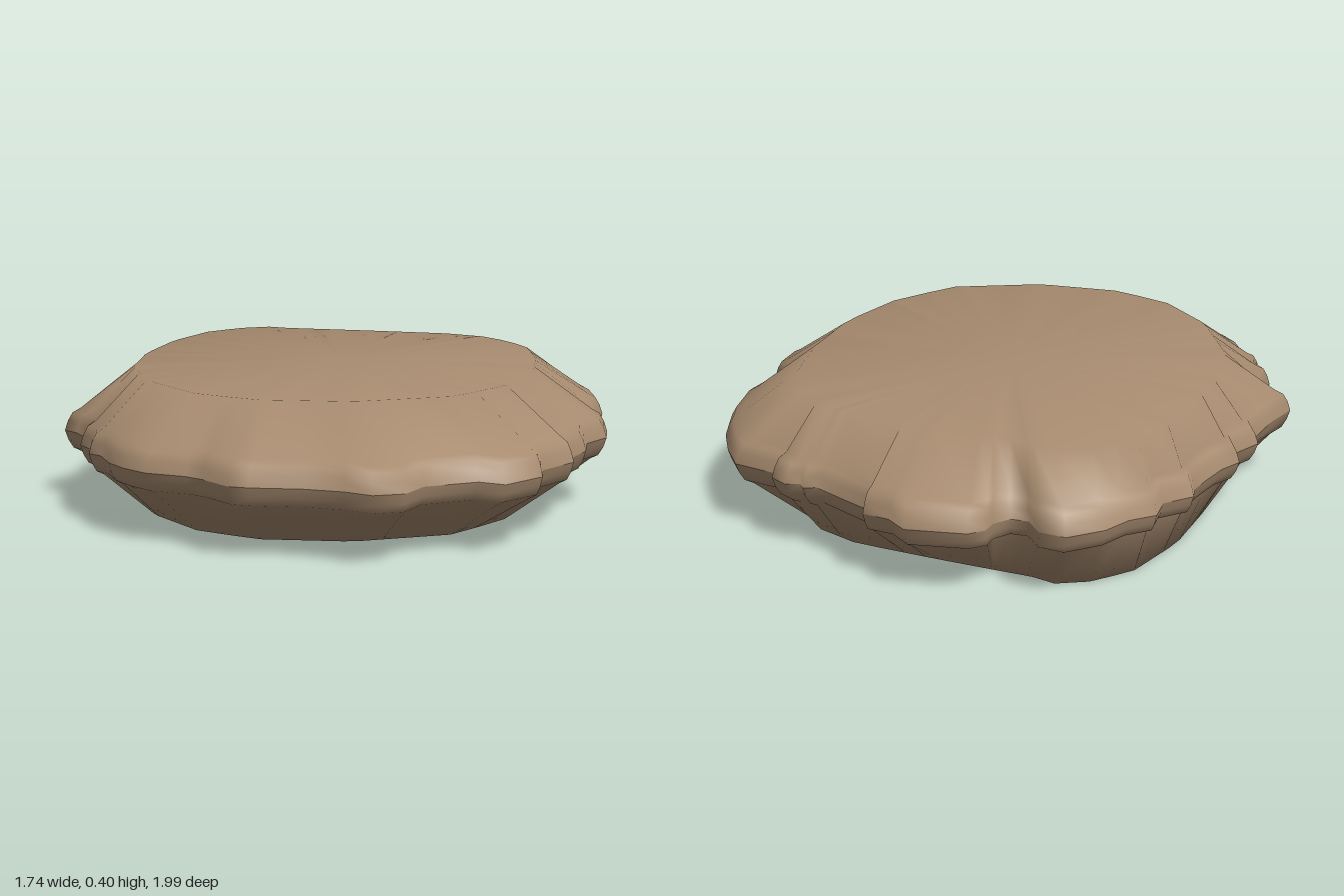
import * as THREE from 'three';

// Craggy outline at the waist of the slab, as x, z pairs from the back tip round to the right
const OUTLINE = [
  -.09, -1, -.02, -.96, 0, -.89, .05, -.87, .10, -.90, .12, -.94, .17, -.96, .34, -.92,
  .38, -.85, .45, -.81, .44, -.78, .52, -.69, .58, -.62, .62, -.62, .63, -.59, .67, -.59,
  .71, -.54, .70, -.51, .82, -.43, .85, -.32, .865, -.2, .86, -.1, .83, .04, .77, .15,
  .72, .20, .74, .31, .70, .41, .61, .48, .57, .58, .48, .68, .48, .72, .36, .80,
  .33, .88, .20, .95, .14, .90, -.02, .92, -.09, .99, -.18, .99, -.24, .93, -.34, .87,
  -.48, .82, -.53, .79, -.58, .69, -.62, .64, -.72, .57, -.77, .49, -.80, .41, -.81, .31,
  -.84, .27, -.83, .2, -.85, .14, -.82, .05, -.84, -.05, -.87, -.10, -.79, -.20, -.72, -.32,
  -.72, -.37, -.64, -.44, -.64, -.51, -.58, -.56, -.52, -.64, -.48, -.70, -.47, -.75,
  -.38, -.79, -.35, -.87, -.27, -.90, -.20, -.96,
];

// Edge of the flat faces, well inside the rim
const PLATEAU = [
  -.04, -.81, .2, -.69, .48, -.54, .6, -.42, .65, -.2, .6, .05, .5, .3, .35, .5, .15, .64,
  -.15, .65, -.4, .56, -.55, .42, -.64, .2, -.66, -.08, -.58, -.35, -.45, -.6, -.3, -.78, -.1, -.87,
];

const CENTRE = new THREE.Vector2(0, -0.1);

function toPoints(list) {
  const points = [];
  for (let i = 0; i < list.length; i += 2) points.push(new THREE.Vector2(list[i], list[i + 1]));
  return points;
}

// Where the line from the centre to a rim point crosses the plateau edge
function plateauPoint(rim, plateau) {
  const d = rim.clone().sub(CENTRE);
  let t = 0.75;
  plateau.forEach((p, i) => {
    const e = plateau[(i + 1) % plateau.length].clone().sub(p);
    const w = p.clone().sub(CENTRE);
    const det = d.cross(e);
    if (Math.abs(det) < 1e-9) return;
    const s = w.cross(e) / det;
    const u = w.cross(d) / det;
    if (s > 0 && u >= 0 && u <= 1) t = s;
  });
  return CENTRE.clone().addScaledVector(d, Math.min(t, 0.94));
}

function insetPoint(p, inset) {
  const r = p.distanceTo(CENTRE);
  return p.clone().sub(CENTRE).multiplyScalar((r - inset) / r).add(CENTRE);
}

// One half of the slab: flat face, slope and rounded rim down to the waist
function halfSlab(rings, upper) {
  const rim = toPoints(OUTLINE);
  const plateau = toPoints(PLATEAU);
  const n = rim.length;
  const position = [CENTRE.x, rings[0].y, CENTRE.y];
  const index = [];
  const face = (a, b, c) => index.push(...(upper ? [a, b, c] : [a, c, b]));

  rings.forEach(({ y, inset }) => {
    for (const p of rim) {
      const q = inset === undefined ? plateauPoint(p, plateau) : insetPoint(p, inset);
      position.push(q.x, y, q.y);
    }
  });
  for (let i = 0; i < n; i++) {
    const j = (i + 1) % n;
    face(0, 1 + j, 1 + i);
    for (let k = 0; k < rings.length - 1; k++) {
      const a = 1 + k * n + i, b = 1 + k * n + j;
      face(a, b, a + n);
      face(b, b + n, a + n);
    }
  }
  const geometry = new THREE.BufferGeometry();
  geometry.setAttribute('position', new THREE.Float32BufferAttribute(position, 3));
  geometry.setIndex(index);
  geometry.computeVertexNormals();
  return geometry;
}

export function createModel() {
  const group = new THREE.Group();
  group.name = 'stoneSlab';
  const stone = new THREE.MeshStandardMaterial({ color: 0xa88c70 });
  stone.name = 'sandstone';

  const addHalf = (name, rings, upper) => {
    const mesh = new THREE.Mesh(halfSlab(rings, upper), stone);
    mesh.name = name;
    group.add(mesh);
  };

  // Upper and lower halves meet in a crease at the waist
  addHalf('upperSlab', [
    { y: 0.4 }, { y: 0.278, inset: 0.05 }, { y: 0.265, inset: 0.025 },
    { y: 0.24, inset: 0.01 }, { y: 0.21, inset: 0 },
  ], true);
  addHalf('lowerSlab', [
    { y: 0 }, { y: 0.142, inset: 0.05 }, { y: 0.155, inset: 0.025 },
    { y: 0.18, inset: 0.01 }, { y: 0.21, inset: 0 },
  ], false);
  return group;
}
